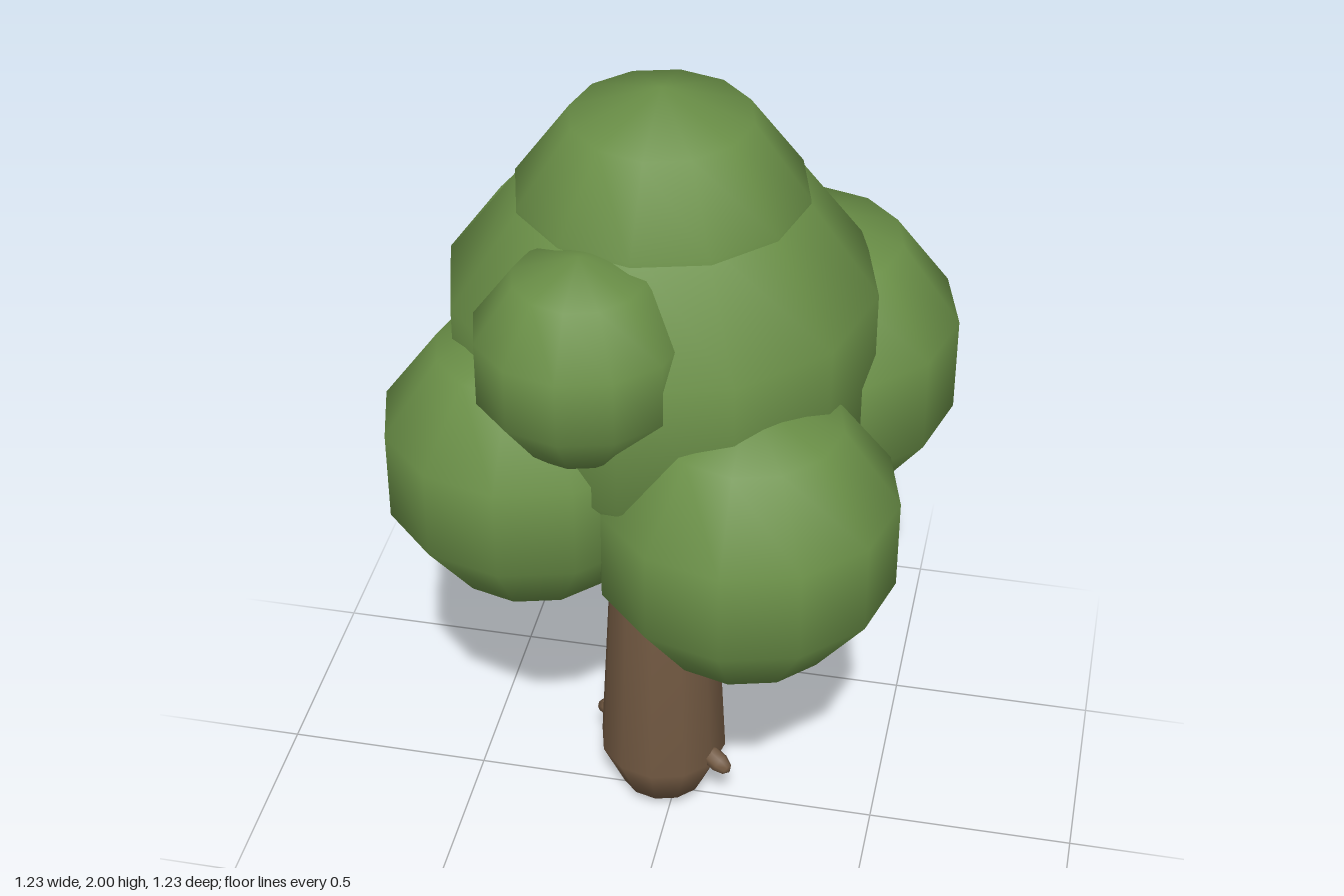
import * as THREE from 'three';

export function createModel() {
  const tree = new THREE.Group();
  tree.name = 'tree';

  const leaf = new THREE.MeshStandardMaterial({ color: 0x6a8f47 });
  leaf.name = 'leaf green';
  const bark = new THREE.MeshStandardMaterial({ color: 0x725942 });
  bark.name = 'bark brown';

  const add = (name, geometry, material, x, y, z) => {
    const mesh = new THREE.Mesh(geometry, material);
    mesh.name = name;
    mesh.position.set(x, y, z);
    tree.add(mesh);
    return mesh;
  };

  // Trunk: tapered, with rounded ends
  const profile = [
    [0, 0], [0.105, 0.045], [0.157, 0.165], [0.122, 0.84], [0.075, 0.95], [0, 1.0],
  ].map(([r, y]) => new THREE.Vector2(r, y));
  add('trunk', new THREE.LatheGeometry(profile, 12), bark, -0.03, 0, -0.01);

  // Twig stubs on opposite sides of the trunk foot
  for (const [name, side] of [['leftTwig', 1], ['rightTwig', -1]]) {
    const twig = add(name, new THREE.SphereGeometry(1, 8, 5), bark,
      -0.03 + side * 0.145, 0.175, -0.01 + side * 0.07);
    twig.scale.set(0.026, 0.048, 0.026);
    const outward = new THREE.Vector3(side * 0.9, -0.45, side * 0.42).normalize();
    twig.quaternion.setFromUnitVectors(new THREE.Vector3(0, 1, 0), outward);
  }

  // Foliage: overlapping coarse spheres [name, x, y, z, radius]
  const clumps = [
    ['crownTop', -0.03, 1.658, -0.01, 0.342],
    ['crownCore', -0.03, 1.385, -0.01, 0.505],
    ['frontLeftClump', 0.218, 1.09, 0.275, 0.353],
    ['frontRightClump', -0.285, 1.175, 0.2, 0.347],
    ['backLeftClump', 0.255, 1.22, -0.25, 0.374],
    ['backRightClump', -0.26, 1.26, -0.285, 0.352],
    ['frontSmallClump', -0.135, 1.535, 0.33, 0.243],
    ['lowerBackClump', 0.12, 0.985, -0.135, 0.3],
  ];
  for (const [name, x, y, z, r] of clumps) {
    add(name, new THREE.SphereGeometry(r, 12, 5), leaf, x, y, z);
  }

  return tree;
}
